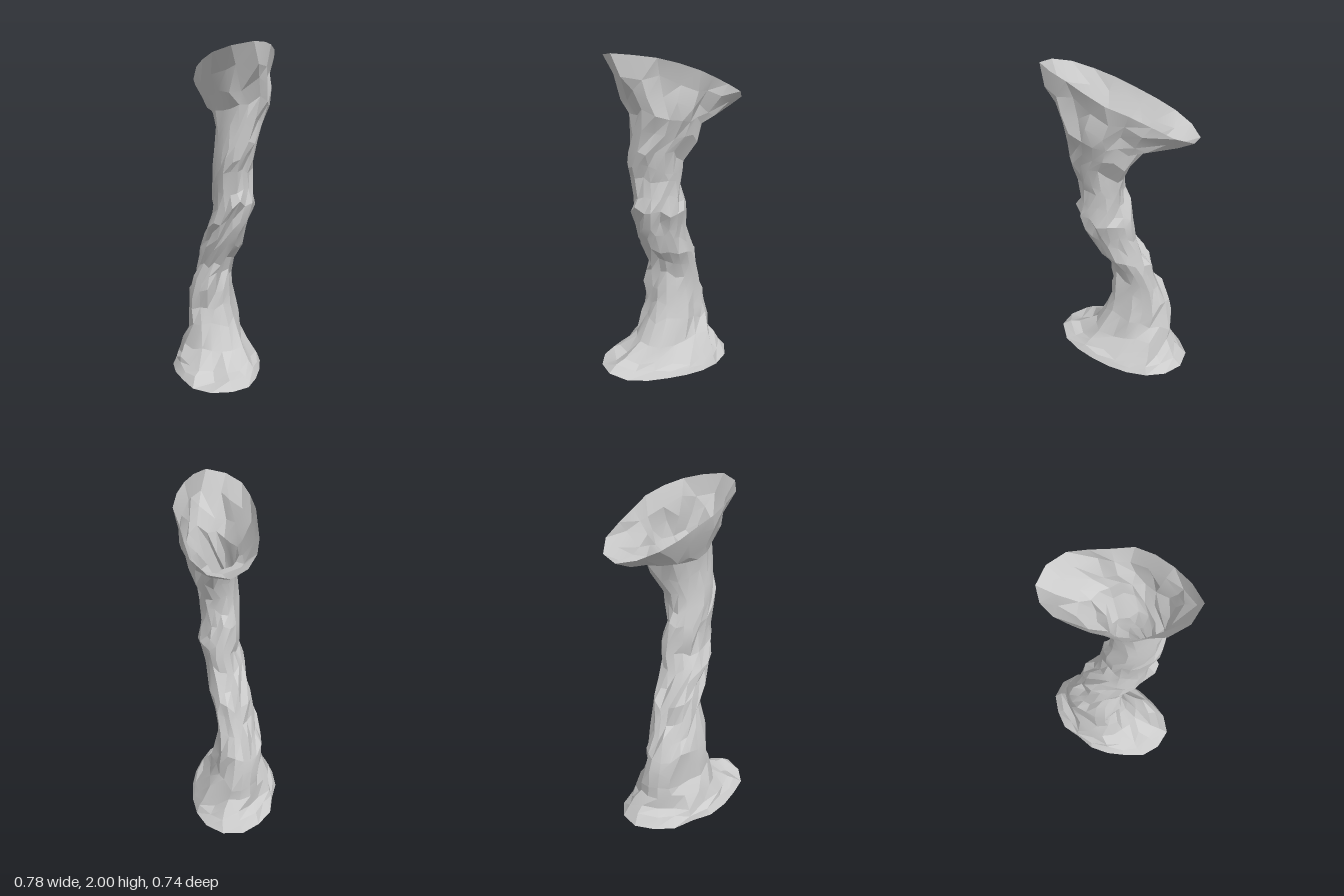
import * as THREE from 'three';
import { toCreasedNormals } from 'three/addons/utils/BufferGeometryUtils.js';

const SIDES = 18;

// Column sections: height, then min/max x and min/max z
const SECTIONS = [
  [0.10, -0.32, 0.23, -0.27, 0.28],
  [0.19, -0.30, 0.15, -0.225, 0.22],
  [0.29, -0.30, 0.09, -0.20, 0.17],
  [0.39, -0.29, 0.05, -0.18, 0.17],
  [0.49, -0.29, 0.05, -0.17, 0.16],
  [0.59, -0.25, 0.04, -0.15, 0.14],
  [0.69, -0.20, 0.07, -0.14, 0.13],
  [0.79, -0.18, 0.14, -0.14, 0.14],
  [0.89, -0.13, 0.18, -0.12, 0.14],
  [0.98, -0.07, 0.21, -0.11, 0.16],
  [1.07, -0.06, 0.25, -0.13, 0.15],
  [1.16, -0.05, 0.23, -0.12, 0.15],
  [1.25, -0.04, 0.23, -0.11, 0.15],
  [1.34, -0.02, 0.26, -0.11, 0.16],
  [1.43, -0.01, 0.28, -0.11, 0.16],
  [1.53, -0.03, 0.28, -0.18, 0.14],
  [1.63, -0.08, 0.30, -0.23, 0.15],
];

// Plan outlines (x, z) of the flared rims, from +x round towards +z
const BASE_RIM = [[0.35, 0.12], [0.34, 0.26], [0.28, 0.32], [0.18, 0.37], [0, 0.34], [-0.18, 0.26],
  [-0.28, 0.14], [-0.37, 0.04], [-0.39, -0.05], [-0.39, -0.2], [-0.32, -0.29], [-0.18, -0.33],
  [0, -0.28], [0.17, -0.16], [0.28, -0.02]];
const TOP_RIM = [[0.39, 0.15], [0.34, 0.21], [0.24, 0.26], [0.1, 0.23], [0, 0.19], [-0.1, 0.12],
  [-0.2, 0.05], [-0.29, -0.04], [-0.36, -0.2], [-0.35, -0.26], [-0.28, -0.35], [-0.2, -0.37],
  [-0.13, -0.37], [0, -0.3], [0.15, -0.25], [0.3, -0.07]];

let seed = 7;
function jitter(amount) {
  seed = (seed * 16807) % 2147483647;
  return (seed / 2147483647 * 2 - 1) * amount;
}

// Resample a rim outline to SIDES points, with its height given by a rule
function rimRing(outline, height) {
  const curve = new THREE.CatmullRomCurve3(outline.map(([x, z]) => new THREE.Vector3(x, 0, z)), true);
  return Array.from({ length: SIDES }, (_, i) => {
    const p = curve.getPointAt(i / SIDES);
    p.y = height(p);
    return p;
  });
}

// Tilted, skewed oval with rough spiral ridges
function columnRing([y, x0, x1, z0, z1]) {
  const cx = (x0 + x1) / 2, cz = (z0 + z1) / 2;
  const tilt = 0.32 * THREE.MathUtils.smoothstep(y, 0.1, 0.4);
  return Array.from({ length: SIDES }, (_, i) => {
    const t = i / SIDES * Math.PI * 2;
    const r = 0.98 + 0.03 * Math.sin(3 * t + 9 * y) + jitter(0.11);
    const x = cx + (x1 - x0) / 2 * r * Math.cos(t);
    const z = cz + (z1 - z0) / 2 * r * Math.sin(t + 0.3);
    return new THREE.Vector3(x, y + tilt * (x - cx) + jitter(0.028), z);
  });
}

// Roughened ring part of the way from one ring to another
function betweenRing(from, to, f, rough) {
  return from.map((p, i) => p.clone().lerp(to[i], f)
    .add(new THREE.Vector3(jitter(rough), jitter(rough), jitter(rough))));
}

// Join the rings into one open skin
function skin(rings) {
  const index = [];
  for (let j = 0; j < rings.length - 1; j++) {
    for (let i = 0; i < SIDES; i++) {
      const k = (i + 1) % SIDES;
      const a = j * SIDES + i, b = j * SIDES + k;
      const c = a + SIDES, d = b + SIDES;
      index.push(a, c, b, b, c, d);
    }
  }
  const geometry = new THREE.BufferGeometry().setFromPoints(rings.flat());
  geometry.setIndex(index);
  return toCreasedNormals(geometry, 0.3);
}

export function createModel() {
  const group = new THREE.Group();
  group.name = 'hollowRockColumn';
  const rock = new THREE.MeshStandardMaterial({ color: 0xcccccc, side: THREE.DoubleSide });

  const baseRim = rimRing(BASE_RIM, ({ x, z }) => Math.max(0, 0.025 + 0.06 * x + 0.05 * z + jitter(0.006)));
  // The top rim climbs towards +x and sags at the back
  const topRim = rimRing(TOP_RIM, ({ x, z }) =>
    Math.min(2, 1.868 + 0.42 * x - 0.2 * x * x + 0.18 * Math.min(z + 0.1, 0)));
  const column = SECTIONS.map(columnRing);
  const neck = column[column.length - 1];

  const parts = {
    flaredBase: [baseRim, betweenRing(baseRim, column[0], 0.55, 0.012), ...column.slice(0, 3)],
    columnShaft: column.slice(2),
    topFunnel: [neck, ...[0.3, 0.65].map(f => betweenRing(neck, topRim, f, 0.022)), topRim],
  };
  for (const [name, rings] of Object.entries(parts)) {
    const mesh = new THREE.Mesh(skin(rings), rock);
    mesh.name = name;
    group.add(mesh);
  }
  return group;
}
